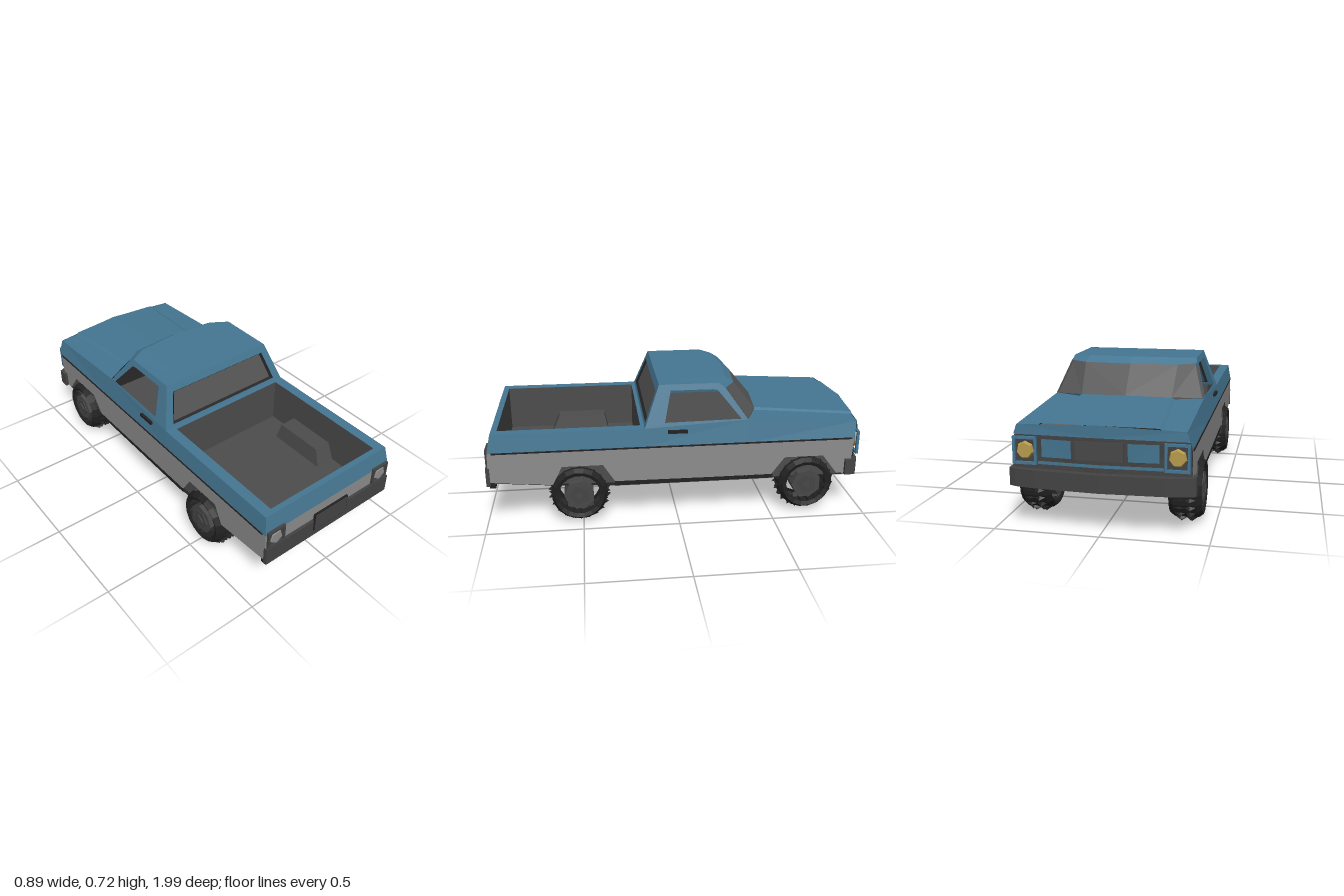
import * as THREE from 'three';

const mat = (name, color) => {
  const m = new THREE.MeshStandardMaterial({ color, side: THREE.DoubleSide, flatShading: true });
  m.name = name;
  return m;
};

export function createModel() {
  const model = new THREE.Group();
  model.name = 'pickupTruck';
  const blue = mat('bluePaint', 0x457692), silver = mat('silverPaint', 0x8c8c8c);
  const dark = mat('darkLiner', 0x4c4c4c), glass = mat('smokedGlass', 0x545454);
  const bumperGrey = mat('bumperGrey', 0x444444), black = mat('blackRubber', 0x222222);
  const amber = mat('headlightYellow', 0xb89c4c), hubGrey = mat('hubGrey', 0x484848);

  const add = (name, geo, material, x = 0, y = 0, z = 0, parent = model) => {
    const m = new THREE.Mesh(geo, material);
    m.name = name;
    m.position.set(x, y, z);
    parent.add(m);
    return m;
  };
  const box = (name, material, w, h, d, x, y, z, parent) =>
    add(name, new THREE.BoxGeometry(w, h, d), material, x, y, z, parent);
  const flip = (polys) => polys.map((p) => p.map(([x, y, z]) => [-x, y, z]));
  // convex flat facets joined in one mesh
  const sheet = (name, material, polys, mirror = false) => {
    const pos = [];
    for (const p of mirror ? [...polys, ...flip(polys)] : polys)
      for (let i = 1; i < p.length - 1; i++) pos.push(...p[0], ...p[i], ...p[i + 1]);
    const g = new THREE.BufferGeometry();
    g.setAttribute('position', new THREE.Float32BufferAttribute(pos, 3));
    g.computeVertexNormals();
    return add(name, g, material);
  };
  // quads between two closed loops of the same length
  const ring = (a, b) => a.map((p, i) => {
    const j = (i + 1) % a.length;
    return [p, a[j], b[j], b[i]];
  });
  // quads between two open lines
  const strip = (a, b) => a.slice(1).map((p, i) => [a[i], p, b[i + 1], b[i]]);
  // [z, y] outline standing at a given x
  const sideShape = (pts) =>
    new THREE.ShapeGeometry(new THREE.Shape(pts.map((p) => new THREE.Vector2(...p)))).rotateY(-Math.PI / 2);

  // lower sides with wheel arch notches, and arch liners behind
  const lower = [[0.97, 0.41], [0.975, 0.25], [0.65, 0.22], [0.6, 0.32], [0.39, 0.32], [0.33, 0.225],
    [-0.5, 0.22], [-0.57, 0.315], [-0.78, 0.315], [-0.86, 0.21], [-0.93, 0.205], [-0.945, 0.405]];
  for (const s of [1, -1]) {
    add('lowerSide', sideShape(lower), silver, s * 0.414);
    add('rearArchLiner', sideShape([[0.66, 0.22], [0.62, 0.33], [0.37, 0.33], [0.32, 0.21]]), dark, s * 0.4);
    add('frontArchLiner', sideShape([[-0.49, 0.2], [-0.55, 0.33], [-0.8, 0.33], [-0.88, 0.2]]), dark, s * 0.4);
    box('sillStrip', black, 0.006, 0.022, 0.84, s * 0.411, 0.211, -0.09);
    box('beltTrim', black, 0.006, 0.008, 1.88, s * 0.415, 0.408, 0.01);
    box('doorHandle', black, 0.014, 0.016, 0.1, s * 0.409, 0.485, 0);
  }
  sheet('underbody', black, [
    [[-0.41, 0.245, 0.97], [0.41, 0.245, 0.97], [0.41, 0.215, 0.64], [-0.41, 0.215, 0.64]],
    [[-0.41, 0.215, 0.64], [0.41, 0.215, 0.64], [0.41, 0.2, 0.3], [-0.41, 0.2, 0.3]],
    [[-0.41, 0.2, 0.3], [0.41, 0.2, 0.3], [0.41, 0.2, -0.94], [-0.41, 0.2, -0.94]]]);

  // blue upper sides and fenders
  sheet('upperSide', blue, [
    [[0.415, 0.41, 0.97], [0.415, 0.41, 0.17], [0.4, 0.505, 0.17], [0.4, 0.505, 0.95]],
    [[0.415, 0.41, 0.17], [0.415, 0.408, -0.37], [0.39, 0.53, -0.37], [0.4, 0.505, 0.17]],
    [[0.415, 0.408, -0.37], [0.415, 0.405, -0.945], [0.39, 0.495, -0.955], [0.39, 0.53, -0.37]]], true);

  // hood with a raised centre
  const base = [[0.39, 0.53, -0.37], [0.25, 0.53, -0.43], [0.235, 0.54, -0.435], [0, 0.545, -0.455]];
  const lip = [[0.39, 0.495, -0.955], [0.285, 0.497, -0.965], [0.27, 0.507, -0.967], [0, 0.512, -0.985]];
  sheet('hood', blue, strip(base, lip), true);

  // bed rails, tailgate and liner
  const rect = (x, y, z0, z1) => [[-x, y, z0], [x, y, z0], [x, y, z1], [-x, y, z1]];
  sheet('bedRails', blue, ring(rect(0.4, 0.505, 0.17, 0.95), rect(0.345, 0.505, 0.19, 0.92)));
  sheet('tailgateTop', blue, [[[-0.415, 0.41, 0.97], [0.415, 0.41, 0.97], [0.4, 0.505, 0.95], [-0.4, 0.505, 0.95]]]);
  sheet('bedLiner', dark, [...ring(rect(0.345, 0.504, 0.19, 0.92), rect(0.345, 0.26, 0.19, 0.92)),
    rect(0.345, 0.26, 0.19, 0.92)]);
  const well = (x, y, z0, z1) => [[0.345, y, z0], [x, y, z0], [x, y, z1], [0.345, y, z1]];
  const wellTop = well(0.25, 0.35, 0.36, 0.63);
  sheet('bedWheelWells', dark, [wellTop, ...ring(wellTop, well(0.235, 0.26, 0.34, 0.67))], true);
  sheet('tailgateLower', silver, [[[-0.414, 0.41, 0.97], [0.414, 0.41, 0.97], [0.414, 0.24, 0.972], [-0.414, 0.24, 0.972]]]);
  box('rearBumper', bumperGrey, 0.83, 0.1, 0.02, 0, 0.279, 0.975);
  box('rearBumperBase', black, 0.81, 0.022, 0.03, 0, 0.224, 0.955);
  box('plateBorder', black, 0.224, 0.104, 0.01, 0, 0.319, 0.984);
  box('numberPlate', bumperGrey, 0.212, 0.092, 0.01, 0, 0.319, 0.987);

  // cab sides: a frame around each open window
  const cabPoint = ([z, y]) => [0.4 - (0.07 * (y - 0.505)) / 0.21, y, z];
  const cabOuter = [[0.17, 0.505], [0.09, 0.715], [-0.22, 0.715], [-0.255, 0.69], [-0.37, 0.53]].map(cabPoint);
  const cabInner = [[0.065, 0.53], [0.03, 0.685], [-0.19, 0.685], [-0.215, 0.68], [-0.335, 0.535]].map(cabPoint);
  sheet('cabSides', blue, ring(cabOuter, cabInner), true);

  // roof and its sloped front brow
  const brow = [[0.33, 0.715, -0.22], [0.235, 0.72, -0.27], [0, 0.722, -0.29]];
  const screenTop = [[0.338, 0.69, -0.255], [0.245, 0.69, -0.315], [0, 0.69, -0.335]];
  sheet('roof', blue, [...strip(brow, [[0.33, 0.715, 0.09], [0.235, 0.716, 0.09], [0, 0.716, 0.09]]),
    ...strip(brow, screenTop)], true);
  const screenBase = [base[0], base[2], base[3]];
  sheet('windshield', glass, strip(screenTop, screenBase), true);
  const edge = (p, dx) => [p[0] + dx, p[1] + 0.002, p[2] - 0.003];
  sheet('windshieldPillarTrim', black, [[edge(screenTop[0], 0), edge(screenTop[0], -0.012),
    edge(screenBase[0], -0.012), edge(screenBase[0], 0)]], true);

  // rear cab wall, window seal and window
  const rearLoop = (x0, y0, x1, y1, inset = 0) => {
    const z = (y) => 0.17 - (0.08 * (y - 0.505)) / 0.21 - inset;
    return [[-x0, y0, z(y0)], [x0, y0, z(y0)], [x1, y1, z(y1)], [-x1, y1, z(y1)]];
  };
  const opening = rearLoop(0.348, 0.521, 0.302, 0.676);
  const paneEdge = rearLoop(0.332, 0.528, 0.292, 0.667, 0.012);
  sheet('rearCabWall', blue, ring(rearLoop(0.4, 0.505, 0.33, 0.716), opening));
  sheet('rearWindowSeal', black, ring(opening, paneEdge));
  sheet('rearWindow', glass, [paneEdge]);
  sheet('cabFloor', dark, [rect(0.405, 0.42, -0.42, 0.17)]);

  // nose: dark backing, blue surround, grille panels
  sheet('noseBacking', bumperGrey, [[[0, 0.27, -0.968], [0.412, 0.27, -0.945], [0.412, 0.42, -0.945],
    [0.39, 0.495, -0.955], [0, 0.51, -0.982]]], true);
  sheet('noseTop', blue, [[[0, 0.455, -0.985], [0.405, 0.45, -0.96], [0.39, 0.496, -0.958], [0, 0.513, -0.987]]], true);
  sheet('grilleSidePanels', blue, [[[0.13, 0.35, -0.974], [0.27, 0.35, -0.966], [0.27, 0.435, -0.97], [0.13, 0.435, -0.979]]], true);
  sheet('grilleFrame', blue, [[[0, 0.315, -0.976], [0.29, 0.315, -0.963], [0.29, 0.33, -0.963], [0, 0.33, -0.976]]], true);
  box('grilleCentre', hubGrey, 0.22, 0.085, 0.008, 0, 0.392, -0.978);

  // lamps: square frame with a five-sided lens
  const squareFrame = (w, h, t) => {
    const s = new THREE.Shape([[-w, -h], [w, -h], [w, h], [-w, h]].map((p) => new THREE.Vector2(...p)));
    s.holes.push(new THREE.Path([[-w + t, -h + t], [-w + t, h - t], [w - t, h - t], [w - t, -h + t]].map((p) => new THREE.Vector2(...p))));
    return new THREE.ExtrudeGeometry(s, { depth: 0.014, bevelEnabled: false });
  };
  for (const s of [1, -1]) {
    add('headlightFrame', squareFrame(0.057, 0.065, 0.012), blue, s * 0.35, 0.378, -0.974);
    const lens = add('headlight', new THREE.CylinderGeometry(0.036, 0.042, 0.016, 7), amber, s * 0.35, 0.378, -0.966);
    lens.rotation.x = -Math.PI / 2;
    add('tailLightFrame', squareFrame(0.053, 0.05, 0.012), bumperGrey, s * 0.352, 0.375, 0.968);
    box('tailLightBack', bumperGrey, 0.1, 0.094, 0.006, s * 0.352, 0.375, 0.972);
    const tail = add('tailLight', new THREE.CylinderGeometry(0.036, 0.04, 0.008, 5), silver, s * 0.352, 0.375, 0.978);
    tail.rotation.x = Math.PI / 2;
  }

  // wraparound front bumper, drawn in plan
  const plan = [[0, 1.0], [0.3, 0.985], [0.4, 0.97], [0.432, 0.955], [0.432, 0.9], [0.412, 0.9], [0.4, 0.94], [0, 0.955]];
  const outline = [...plan, ...plan.slice(1, -1).reverse().map(([x, z]) => [-x, z])];
  add('frontBumper', new THREE.ExtrudeGeometry(new THREE.Shape(outline.map((p) => new THREE.Vector2(...p))),
    { depth: 0.085, bevelEnabled: false }).rotateX(-Math.PI / 2), bumperGrey, 0, 0.205, 0);

  // wheels: open tyre shell, ragged tread and faceted hub
  const profile = [[0.108, -0.07], [0.128, -0.078], [0.145, -0.055], [0.148, 0], [0.145, 0.055], [0.128, 0.078], [0.108, 0.07]];
  const tyre = new THREE.LatheGeometry(profile.map((p) => new THREE.Vector2(...p)), 18).rotateZ(Math.PI / 2);
  const tooth = new THREE.ConeGeometry(0.014, 0.03, 3).scale(3.2, 1, 0.6);
  for (const s of [1, -1]) for (const z of [0.515, -0.69]) {
    const wheel = new THREE.Group();
    wheel.name = z > 0 ? 'rearWheel' : 'frontWheel';
    wheel.position.set(s * 0.362, 0.165, z);
    model.add(wheel);
    add('tyre', tyre, black, 0, 0, 0, wheel);
    for (let i = 0; i < 22; i++) {
      const a = (i / 22) * Math.PI * 2;
      for (const side of [-1, 1]) {
        const t = add('treadTooth', tooth, black, side * 0.024, Math.cos(a) * 0.15, Math.sin(a) * 0.15, wheel);
        t.rotation.x = a + 0.35 * side;
      }
    }
    for (const [name, r, w, n, m] of [['hub', 0.08, 0.15, 7, hubGrey], ['hubPlate', 0.055, 0.16, 5, bumperGrey], ['hubCap', 0.027, 0.168, 3, hubGrey]])
      add(name, new THREE.CylinderGeometry(r, r, w, n).rotateZ(Math.PI / 2), m, 0, 0, 0, wheel);
  }
  return model;
}
